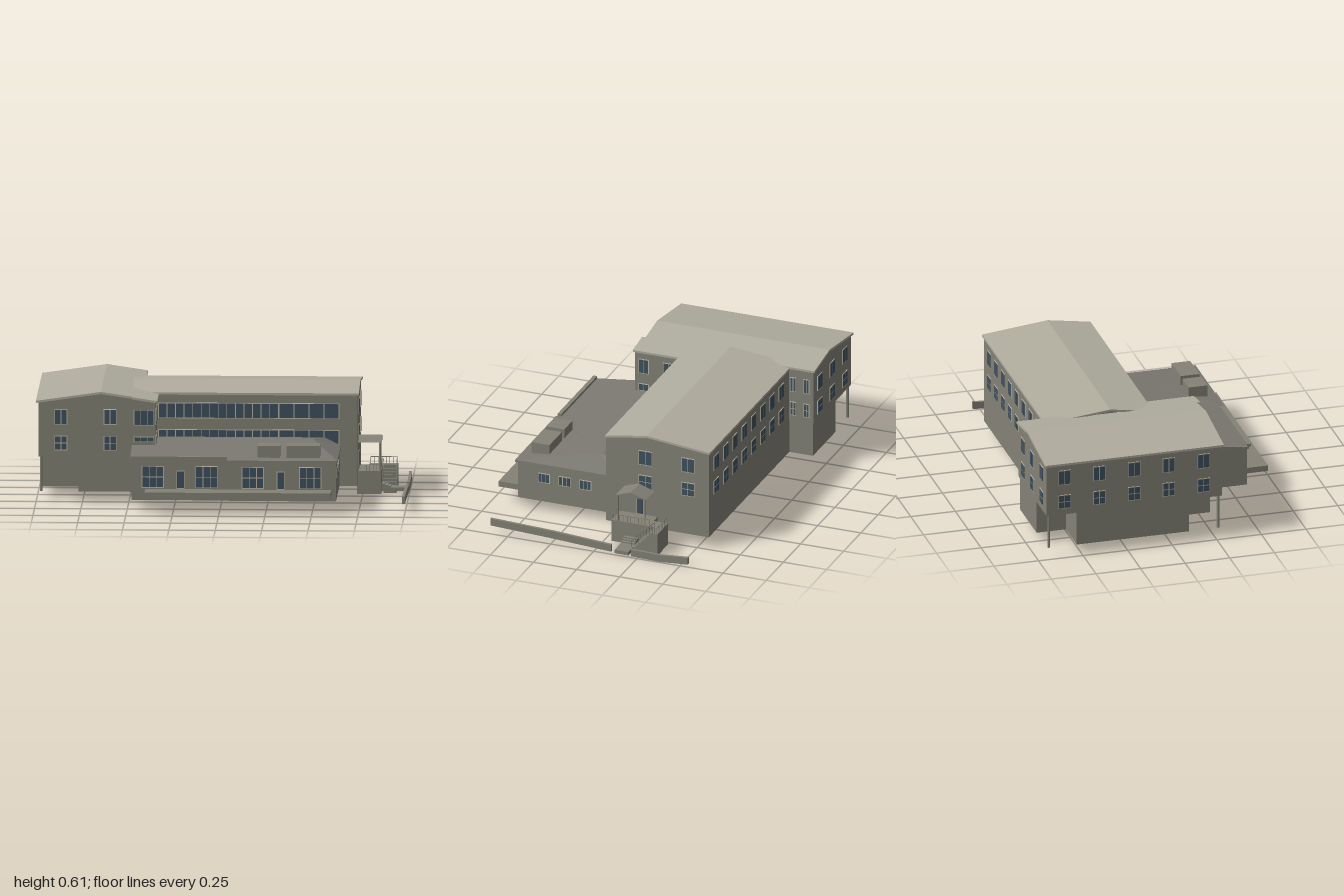
import * as THREE from 'three';

const mat = (name, color, side = THREE.FrontSide) => {
  const m = new THREE.MeshStandardMaterial({ color, side });
  m.name = name;
  return m;
};

export function createModel() {
  const wall = mat('wall grey', 0x858377);
  const roof = mat('roof light grey', 0xb0ad9f);
  const lowRoof = mat('low roof grey', 0x7b7971, THREE.DoubleSide);
  const glass = mat('window blue', 0x40525f);
  const trim = mat('window frame beige', 0xbdb9a6);
  const model = new THREE.Group();
  model.name = 'building';

  const add = (name, geo, m, parent = model) => {
    const mesh = new THREE.Mesh(geo, m);
    mesh.name = name;
    parent.add(mesh);
    return mesh;
  };
  // Box given by its limits on each axis
  const box = (name, x0, x1, y0, y1, z0, z1, m = wall) => {
    const mesh = add(name, new THREE.BoxGeometry(x1 - x0, y1 - y0, z1 - z0), m);
    mesh.position.set((x0 + x1) / 2, (y0 + y1) / 2, (z0 + z1) / 2);
    return mesh;
  };
  const extrude = (pts, depth) => new THREE.ExtrudeGeometry(
    new THREE.Shape(pts.map(p => new THREE.Vector2(...p))), { depth, bevelEnabled: false });
  // Profile in (x, y) run along z
  const alongZ = (name, pts, z0, z1, m = wall) =>
    add(name, extrude(pts, z1 - z0).translate(0, 0, z0), m);
  // Profile in (z, y) run along x
  const alongX = (name, pts, x0, x1, m = wall) =>
    add(name, extrude(pts.map(([z, y]) => [-z, y]), x1 - x0).rotateY(Math.PI / 2).translate(x0, 0, 0), m);
  // Slab that follows a line of roof points
  const slab = (pts, t = 0.012) => [...pts, ...pts.map(([a, y]) => [a, y - t]).reverse()];
  const rod = (name, a, b, r = 0.002, m = wall) => {
    const p = new THREE.Vector3(...a), q = new THREE.Vector3(...b);
    const mesh = add(name, new THREE.CylinderGeometry(r, r, p.distanceTo(q), 6), m);
    mesh.position.copy(p).add(q).multiplyScalar(0.5);
    mesh.quaternion.setFromUnitVectors(new THREE.Vector3(0, 1, 0), q.sub(p).normalize());
  };

  // Framed window: side picks the wall direction, u runs along it
  const turn = { front: 0, right: Math.PI / 2, back: Math.PI, left: -Math.PI / 2 };
  const win = (side, face, u0, u1, y0, y1, cols = 2, rows = 1, name = 'window') => {
    const g = new THREE.Group();
    g.name = name;
    const w = u1 - u0, h = y1 - y0, gap = 0.004;
    add('frame', new THREE.BoxGeometry(w, h, 0.004), trim, g);
    const pw = (w - gap * (cols + 1)) / cols, ph = (h - gap * (rows + 1)) / rows;
    for (let i = 0; i < cols; i++) for (let j = 0; j < rows; j++) {
      const pane = add('pane', new THREE.BoxGeometry(pw, ph, 0.007), glass, g);
      pane.position.set(-w / 2 + gap + pw / 2 + i * (pw + gap), -h / 2 + gap + ph / 2 + j * (ph + gap), 0);
    }
    const u = (u0 + u1) / 2, y = (y0 + y1) / 2;
    if (side === 'front' || side === 'back') g.position.set(u, y, face);
    else g.position.set(face, y, u);
    g.rotation.y = turn[side];
    model.add(g);
  };
  const floors = [[0.285, 0.365, 2], [0.425, 0.51, 1]];
  const column = (side, face, u, w = 0.07) =>
    floors.forEach(([y0, y1, rows]) => win(side, face, u - w / 2, u + w / 2, y0, y1, 2, rows));

  // Main wing with a gable at its right end
  alongX('mainWing', [[0.032, 0.06], [0.032, 0.555], [-0.2, 0.594], [-0.558, 0.555], [-0.558, 0.06]], -0.48, 0.725);
  box('cornerPier', 0.63, 0.725, 0.06, 0.555, 0.02, 0.038);
  alongX('mainRoof', slab([[0.042, 0.566], [-0.2, 0.605], [-0.566, 0.566]]), -0.49, 0.733, roof);
  box('frontFascia', -0.35, 0.73, 0.55, 0.563, 0.02, 0.04);

  // Cross wing, whose upper floors hang over the base
  const east = x => 0.605 - 0.15 * (x + 0.65);
  alongZ('crossWing', [[-0.985, 0.25], [-0.44, 0.25], [-0.44, east(-0.44) - 0.011], [-0.65, 0.594], [-0.985, 0.546]], -0.7, 0.283);
  box('crossWingBase', -0.77, -0.445, 0.06, 0.25, -0.695, 0.278);
  box('sideBase', -0.98, -0.77, 0.06, 0.25, -0.53, 0.1);
  alongZ('crossWingBay', [[-0.48, 0.06], [-0.355, 0.06], [-0.355, east(-0.355) - 0.011], [-0.48, east(-0.48) - 0.011]], -0.2, 0.3);
  alongZ('crossWingRoof', slab([[-1, 0.555], [-0.65, 0.605], [-0.43, east(-0.43)]]), -0.71, 0.29, roof);
  alongZ('bayRoof', slab([[-0.43, east(-0.43)], [-0.345, east(-0.345)]]), -0.2, 0.31, roof);
  alongZ('bayRoofFront', slab([[-0.48, east(-0.48)], [-0.43, east(-0.43)]]), 0.29, 0.31, roof);
  for (const z of [-0.685, 0.265]) rod('cornerPost', [-0.972, 0.06, z], [-0.972, 0.25, z], 0.008);

  // Low annex at the front
  box('annexLeft', -0.475, 0.05, 0.06, 0.285, 0.03, 0.57);
  box('annexRight', 0.05, 0.628, 0.06, 0.28, 0.03, 0.588);
  const eaves = [[-0.482, 0.285, 0.58], [0.04, 0.285, 0.58], [0.04, 0.284, 0.602], [0.636, 0.282, 0.602], [0.636, 0.282, 0.035],
    [0.55, 0.325, 0.035], [-0.482, 0.325, 0.035], [-0.482, 0.335, 0.16], [0.49, 0.335, 0.16]];
  const annexRoof = new THREE.BufferGeometry();
  annexRoof.setAttribute('position', new THREE.Float32BufferAttribute(eaves.flat(), 3));
  annexRoof.setIndex([0, 1, 7, 1, 8, 7, 1, 2, 8, 2, 3, 8, 3, 4, 8, 4, 5, 8, 5, 6, 8, 6, 7, 8]);
  const flatRoof = annexRoof.toNonIndexed();
  flatRoof.computeVertexNormals();
  add('annexRoof', flatRoof, lowRoof);
  box('annexFasciaLeft', -0.482, 0.04, 0.273, 0.285, 0.03, 0.58);
  box('annexFasciaRight', 0.04, 0.636, 0.268, 0.282, 0.03, 0.602);
  box('leftEaveEdge', -0.48, 0.04, 0.285, 0.3, 0.57, 0.592);
  alongX('annexEndWall', [[0.57, 0.27], [0.57, 0.284], [0.16, 0.333], [0.035, 0.323], [0.035, 0.27]], -0.481, -0.47);
  box('terrace', -0.4, 0.603, 0.09, 0.122, 0.58, 0.71);
  for (const [a, b] of [[0.205, 0.325], [0.36, 0.54]]) box('roofUnit', a, b, 0.285, 0.355, 0.44, 0.545);

  // Annex windows and doors
  for (const x of [-0.36, -0.07, 0.18, 0.49]) {
    win('front', x < 0.05 ? 0.571 : 0.589, x - 0.06, x + 0.06, 0.127, 0.246, 3, 2);
  }
  for (const x of [-0.21, 0.33]) win('front', x < 0.05 ? 0.571 : 0.589, x - 0.022, x + 0.022, 0.122, 0.222, 1, 1, 'annexDoor');
  for (const z of [0.437, 0.317, 0.196]) win('right', 0.629, z - 0.035, z + 0.035, 0.17, 0.226, 3);

  // Ribbon windows along the front of the main wing
  floors.forEach(([y0, y1]) => {
    win('front', 0.034, -0.35, 0.3, y0, y1, 14, 1, 'ribbonWindow');
    win('front', 0.034, 0.3, 0.628, y0, y1, 4, 1, 'ribbonWindow');
    win('front', 0.301, -0.472, -0.362, y0 + (y0 < 0.3 ? 0.05 : 0), y1, 3, 1, 'bayWindow');
  });

  // Paired windows on the other walls
  for (const x of [-0.865, -0.6]) column('front', 0.284, x);
  for (const z of [0.25, 0.108]) column('right', -0.354, z, 0.06);
  for (const z of [-0.19, -0.438]) column('right', 0.726, z, 0.078);
  for (const z of [-0.583, -0.66]) column('right', -0.439, z, 0.035);
  for (let i = 0; i < 8; i++) column('back', -0.559, 0.62 - i * 0.135);
  for (const x of [-0.53, -0.71, -0.89]) column('back', -0.701, x);
  for (let i = 0; i < 5; i++) column('left', -0.986, -0.6 + i * 0.195);

  // Side porch with door and canopy
  win('right', 0.726, -0.18, -0.138, 0.13, 0.226, 1, 1, 'porchDoor');
  box('porchPlatform', 0.72, 0.85, 0.005, 0.13, -0.26, -0.042);
  box('porchLanding', 0.78, 0.932, 0.005, 0.13, -0.342, -0.29);
  box('landingLink', 0.78, 0.85, 0.005, 0.13, -0.29, -0.26);
  alongX('canopy', [[-0.068, 0.283], [-0.156, 0.312], [-0.244, 0.283]], 0.725, 0.852);
  for (const z of [-0.078, -0.234]) rod('canopyPost', [0.842, 0.13, z], [0.842, 0.285, z], 0.004);

  // Stairs down to the walk
  for (let i = 0; i < 6; i++) {
    box('step', 0.85, 0.93, 0.005, 0.03 + i * 0.016, -0.2 - (i + 1) * 0.015, -0.2 - i * 0.015);
  }
  box('walk', 0.85, 1, 0.01, 0.03, -0.2, -0.12);
  for (let i = 0; i < 3; i++) box('walkStep', 0.85, 0.9 - i * 0.015, 0.03, 0.037 + i * 0.007, -0.2, -0.12);

  // Railings
  const rail = (a, b, n) => {
    const at = (t, h) => a.map((v, k) => v + (b[k] - v) * t + (k === 1 ? h : 0));
    rod('handrail', at(0, 0.035), at(1, 0.035));
    for (let i = 0; i <= n; i++) rod('baluster', at(i / n, 0), at(i / n, 0.035), 0.0014);
  };
  rail([0.73, 0.13, -0.046], [0.846, 0.13, -0.046], 6);
  rail([0.846, 0.13, -0.046], [0.846, 0.13, -0.26], 10);
  rail([0.784, 0.13, -0.338], [0.928, 0.13, -0.338], 7);
  rail([0.928, 0.13, -0.338], [0.928, 0.13, -0.295], 3);
  for (const x of [0.854, 0.927]) rail([x, 0.125, -0.295], [x, 0.03, -0.19], 5);

  // Sloping boundary walls
  alongX('boundaryWallFront', [[0.6, 0.05], [0.6, 0.09], [0.25, 0.077], [-0.1, 0.055], [-0.1, 0.015], [0.25, 0.035]], 0.984, 1);
  alongX('boundaryWallBack', [[-0.215, 0.008], [-0.215, 0.047], [-0.38, 0.043], [-0.545, 0.055], [-0.545, 0.015], [-0.38, 0.003]], 0.984, 1);
  box('wallFooting', 0.86, 0.93, 0, 0.01, -0.34, -0.12);
  return model;
}
